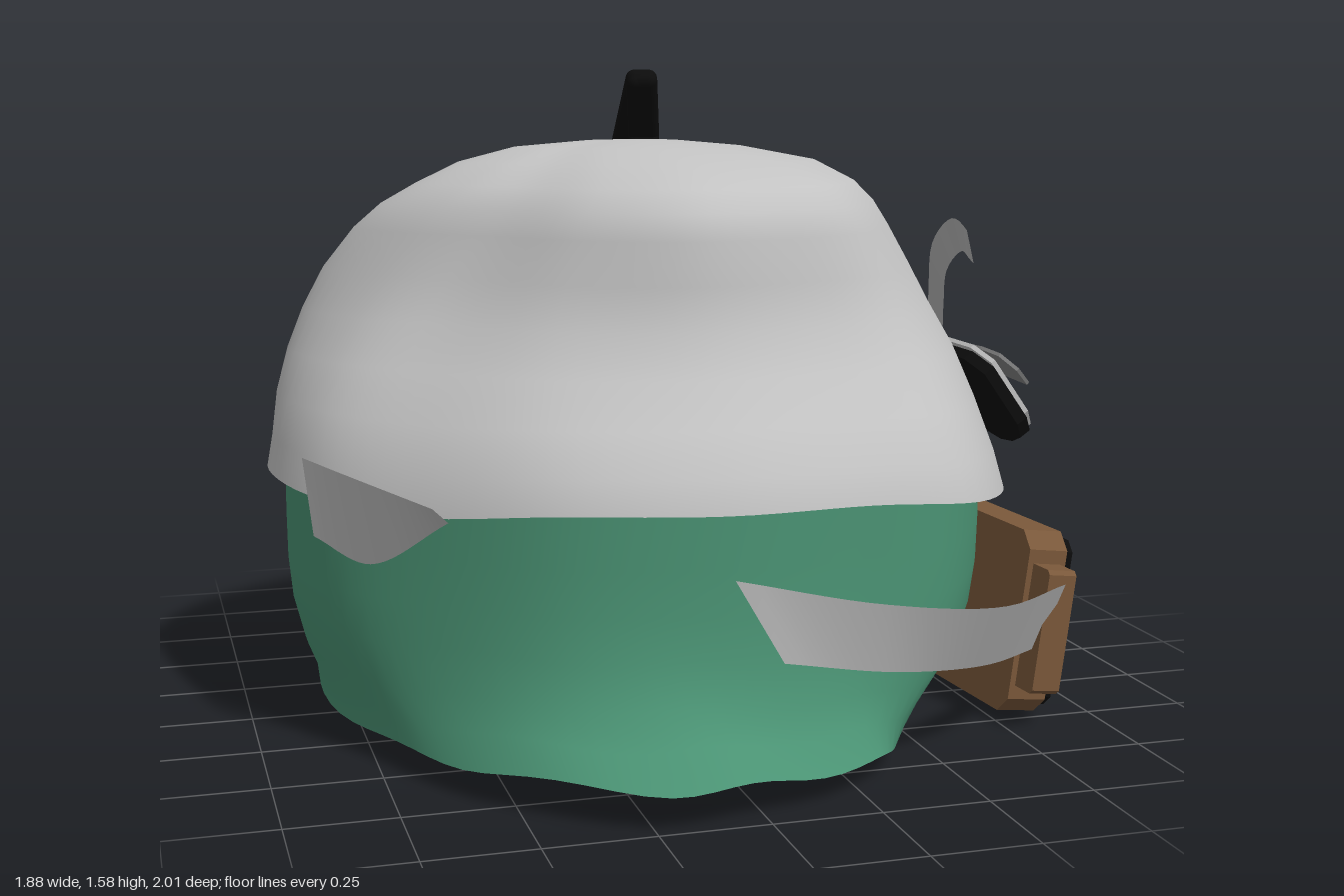
import * as THREE from 'three';
import { RoundedBoxGeometry } from 'three/addons/geometries/RoundedBoxGeometry.js';

const mat = (name, color, side = THREE.FrontSide) => {
  const m = new THREE.MeshStandardMaterial({ color, side });
  m.name = name;
  return m;
};
const V = (p) => new THREE.Vector3(...p);
const N = 96;

// Smooth closed ring through a few control points
const ring = (pts) => new THREE.CatmullRomCurve3(pts.map(V), true).getPoints(N).slice(0, N);

// Skin over closed rings, listed from bottom to top
function loft(rings) {
  const pos = [], idx = [];
  rings.forEach((r) => r.forEach((p) => pos.push(p.x, p.y, p.z)));
  for (let j = 0; j < rings.length - 1; j++) {
    for (let i = 0; i < N; i++) {
      const a = j * N + i, b = j * N + (i + 1) % N;
      idx.push(a, a + N, b, b, a + N, b + N);
    }
  }
  return finish(pos, idx);
}

function finish(pos, idx) {
  const g = new THREE.BufferGeometry();
  g.setAttribute('position', new THREE.Float32BufferAttribute(pos, 3));
  g.setIndex(idx);
  g.computeVertexNormals();
  return g;
}

// Thin strip between two edge curves
function strip(top, bottom, n = 20) {
  const pos = [], idx = [];
  const a = new THREE.CatmullRomCurve3(top.map(V)).getPoints(n);
  const b = new THREE.CatmullRomCurve3(bottom.map(V)).getPoints(n);
  for (let i = 0; i <= n; i++) {
    pos.push(...a[i].toArray(), ...b[i].toArray());
    if (i < n) idx.push(2 * i, 2 * i + 1, 2 * i + 2, 2 * i + 2, 2 * i + 1, 2 * i + 3);
  }
  return finish(pos, idx);
}

// Flat-sided plate from an outline
const plate = (pts, depth) => new THREE.ExtrudeGeometry(
  new THREE.Shape(pts.map((p) => new THREE.Vector2(...p))), { depth, bevelEnabled: false });

// Rectangle with cut corners
const cutRect = (w, h, c) => [[-w, -h + c], [-w + c, -h], [w - c, -h], [w, -h + c],
  [w, h - c], [w - c, h], [-w + c, h], [-w, h - c]];

export function createModel() {
  const model = new THREE.Group();
  const grey = mat('light grey', 0xc2c2c2, THREE.DoubleSide);
  const strapGrey = mat('strap grey', 0xb6b6b6, THREE.DoubleSide);
  const lensGrey = mat('lens grey', 0x858585);
  const green = mat('green', 0x4a9273, THREE.DoubleSide);
  const brown = mat('brown', 0x7a583a);
  const black = mat('black', 0x0c0c0c);
  const add = (name, geo, material, parent = model) => {
    const m = new THREE.Mesh(geo, material);
    m.name = name;
    parent.add(m);
    return m;
  };

  // Cap: rim outline (x, y, z), shrunk to the extents of each level
  const rimPts = [
    [0.84, 0.55, 0.1], [0.8, 0.57, 0.4], [0.6, 0.6, 0.7], [0.3, 0.63, 0.8],
    [-0.05, 0.635, 0.84], [-0.4, 0.635, 0.75], [-0.7, 0.6, 0.5], [-0.88, 0.61, 0.25],
    [-0.94, 0.62, -0.07], [-0.85, 0.62, -0.33], [-0.6, 0.64, -0.6], [-0.3, 0.66, -0.72],
    [0.1, 0.67, -0.76], [0.35, 0.66, -0.69], [0.6, 0.64, -0.57], [0.75, 0.57, -0.25],
  ];
  const fit = (x, z, [x0, x1, z0, z1]) => [
    x0 + (x + 0.94) / 1.78 * (x1 - x0), z0 + (z + 0.76) / 1.6 * (z1 - z0)];
  const rim = ring(rimPts);
  // Upper outline, drawn in at its corners
  const pull = [0.02, 0.08, 0.08, 0.02, 0, 0.1, 0.17, 0.1, 0, 0.03, 0.05, 0.02, 0, 0.05, 0.09, 0.05];
  const crown = ring(rimPts.map(([x, y, z], i) => [
    -0.05 + (x + 0.05) * (1 - pull[i]), y, 0.04 + (z - 0.04) * (1 - pull[i])]));
  // y, then x and z extents
  const capLevels = [
    [0.62, -0.94, 0.84, -0.76, 0.84], [0.7, -0.925, 0.815, -0.755, 0.82],
    [0.8, -0.91, 0.79, -0.74, 0.75], [0.9, -0.88, 0.77, -0.72, 0.67],
    [1.0, -0.84, 0.73, -0.68, 0.62], [1.1, -0.79, 0.68, -0.62, 0.6],
    [1.2, -0.72, 0.61, -0.52, 0.6], [1.26, -0.66, 0.56, -0.42, 0.575],
    [1.31, -0.58, 0.5, -0.32, 0.53], [1.36, -0.48, 0.4, -0.2, 0.42],
    [1.395, -0.35, 0.21, -0.05, 0.28], [1.41, -0.18, 0.04, 0.07, 0.19],
    [1.412, -0.08, -0.079, 0.13, 0.131],
  ];
  add('cap', loft(capLevels.map(([y, ...ext]) => rim.map((p, i) => {
    const q = p.clone().lerp(crown[i], THREE.MathUtils.smoothstep(y, 0.7, 1.25));
    const [x, z] = fit(q.x, q.z, ext);
    return new THREE.Vector3(x, y + (p.y - 0.62) * Math.max(0, 1 - (y - 0.62) / 0.25), z);
  }))), grey);

  // Skirt: wall outline flaring into the hem outline
  const wallPts = rimPts.map(([x, , z]) => {
    const [a, b] = fit(x, z, [-0.9, 0.77, -0.68, 0.81]);
    return [a, 0, b];
  });
  const wallTop = ring(wallPts);
  wallPts[13] = [0.32, 0, -0.6];
  wallPts[14] = [0.47, 0, -0.44];
  wallPts[15] = [0.64, 0, -0.2];
  const wallLow = ring(wallPts);
  const hem = ring([
    [0.6, 0.12, 0.1], [0.56, 0.1, 0.42], [0.43, 0.06, 0.66], [0.31, 0.06, 0.84],
    [0.05, 0.08, 0.96], [-0.22, 0.09, 1.0], [-0.53, 0.08, 0.76], [-0.71, 0.06, 0.45],
    [-0.83, 0.07, 0.05], [-0.78, 0.07, -0.25], [-0.58, 0.06, -0.6], [-0.42, 0.05, -0.87],
    [-0.12, 0.05, -1.0], [0.15, 0.03, -0.9], [0.31, 0.02, -0.7], [0.53, 0.05, -0.33],
  ]);
  hem.forEach((p, i) => { p.y += 0.008 * Math.sin(i * Math.PI / 4); });
  // height fraction, flare, inward pinch, share of the lower wall outline
  const skirtLevels = [[0.1, 0.58, 0.975, 1], [0.21, 0.26, 0.98, 1], [0.37, 0.09, 0.995, 0.9],
    [0.53, 0.02, 1, 0.6], [0.7, 0, 1, 0.25], [1, 0, 1, 0]];
  const skirtRings = skirtLevels.map(([s, f, pinch, low]) => hem.map((h, i) => {
    const q = wallTop[i].clone().lerp(wallLow[i], low).lerp(h, f);
    q.x *= pinch;
    q.y = h.y + (0.69 - h.y) * s;
    return q;
  }));
  add('skirt', loft([hem, ...skirtRings]), green);
  // Gently sagging underside
  const sag = new THREE.Vector3(0, 0.003, -0.3);
  const inner = hem.map((p) => {
    const q = p.clone().lerp(sag, 0.45);
    q.y = 0.015 + p.y * 0.12;
    return q;
  });
  add('skirtBottom', loft([hem.map(() => sag), inner, hem]), green);

  // Straps and patches
  add('frontStrap', strip(
    [[-0.03, 0.49, 0.83], [0.3, 0.42, 0.85], [0.6, 0.38, 0.81], [0.86, 0.37, 0.63]],
    [[0.08, 0.3, 0.84], [0.35, 0.25, 0.81], [0.6, 0.22, 0.73], [0.83, 0.2, 0.56]]), strapGrey);
  add('backStrap', strip(
    [[0.79, 0.3, -0.2], [0.7, 0.24, -0.42], [0.52, 0.21, -0.6], [0.25, 0.25, -0.71], [-0.14, 0.32, -0.755]],
    [[0.74, 0.15, -0.2], [0.66, 0.08, -0.42], [0.5, 0.065, -0.6], [0.28, 0.09, -0.74], [-0.08, 0.17, -0.785]]),
  grey);
  add('sidePatch', strip(
    [[-0.89, 0.7, 0.27], [-0.81, 0.69, 0.46], [-0.65, 0.64, 0.62]],
    [[-0.87, 0.52, 0.29], [-0.76, 0.48, 0.43], [-0.61, 0.6, 0.59]]), grey);

  // Wavy brow ribbon floating beside the cap
  const brow = new THREE.CatmullRomCurve3([
    [0.68, 1.16, 0.44], [0.7, 1.18, 0.32], [0.73, 1.11, 0.15], [0.79, 0.99, 0], [0.85, 0.86, -0.15],
    [0.865, 0.77, -0.3], [0.83, 0.745, -0.46], [0.79, 0.78, -0.6], [0.745, 0.84, -0.71]].map(V));
  const edges = [1, -1].map((s) => brow.getPoints(24).map((p, i) => {
    const side = brow.getTangent(i / 24).cross(new THREE.Vector3(1, 0.3, 0)).normalize();
    return p.addScaledVector(side, s * 0.042).toArray();
  }));
  add('browRibbon', strip(edges[0], edges[1], 40), strapGrey);

  // Upper eye: tilted dish with a black underside and a flatter lens above it
  const eye = new THREE.Group();
  eye.name = 'upperEye';
  eye.position.set(0.85, 0.775, 0.15);
  eye.rotation.set(0, Math.PI / 2, 0.62, 'ZYX');
  model.add(eye);
  const eyeShape = [[-0.2, -0.05], [-0.16, -0.1], [-0.08, -0.13], [0, -0.14], [0.1, -0.12],
    [0.17, -0.07], [0.2, 0], [0.2, 0.1], [0.14, 0.145], [-0.12, 0.145], [-0.2, 0.11]];
  add('eyeLid', plate(eyeShape, 0.012), grey, eye);
  add('eyeUnderside', plate(eyeShape, 0.03), black, eye).position.set(0, -0.012, -0.03);
  const lens = add('eyeLens', plate([[-0.17, 0], [-0.12, -0.07], [0.17, -0.035], [0.18, 0.02],
    [0.15, 0.05], [-0.07, 0.07], [-0.16, 0.06]], 0.009), lensGrey);
  lens.position.set(0.875, 0.835, 0.14);
  lens.rotation.set(0, Math.PI / 2, 0.885, 'ZYX');

  // Lower eye on the skirt
  const lower = add('lowerEye', plate([[-0.165, 0.05], [-0.13, -0.03], [-0.07, -0.08], [0.02, -0.09],
    [0.1, -0.05], [0.14, 0.02], [0.16, 0.08], [0, 0.065]], 0.012), grey);
  lower.position.set(0.575, 0.48, -0.535);
  lower.rotation.y = 2.42;

  // Framed screen
  const screen = new THREE.Group();
  screen.name = 'screen';
  screen.position.set(0.805, 0.25, 0.18);
  screen.rotation.set(0, Math.PI / 2 + 0.09, -0.13, 'ZYX');
  model.add(screen);
  add('screenFrame', plate(cutRect(0.355, 0.226, 0.04), 0.105), brown, screen).position.z = -0.05;
  add('screenTabs', plate(cutRect(0.43, 0.152, 0.01), 0.075), brown, screen).position.z = -0.035;
  add('screenPanel', plate(cutRect(0.348, 0.207, 0.025), 0.02), black, screen).position.z = 0.055;

  // Bent antenna
  const joints = [[0.11, 1.245, -0.42], [0.13, 1.245, -0.49], [0.15, 1.4, -0.55],
    [0.11, 1.55, -0.43], [0.175, 1.365, -0.83]].map(V);
  const antenna = new THREE.Group();
  antenna.name = 'antenna';
  model.add(antenna);
  for (let i = 0; i < joints.length - 1; i++) {
    const a = joints[i], b = joints[i + 1];
    const beam = add('antennaBeam',
      new RoundedBoxGeometry(0.085, 0.058, a.distanceTo(b) + 0.05, 3, 0.024), black, antenna);
    beam.position.copy(a).lerp(b, 0.5);
    beam.lookAt(b);
  }
  return model;
}
